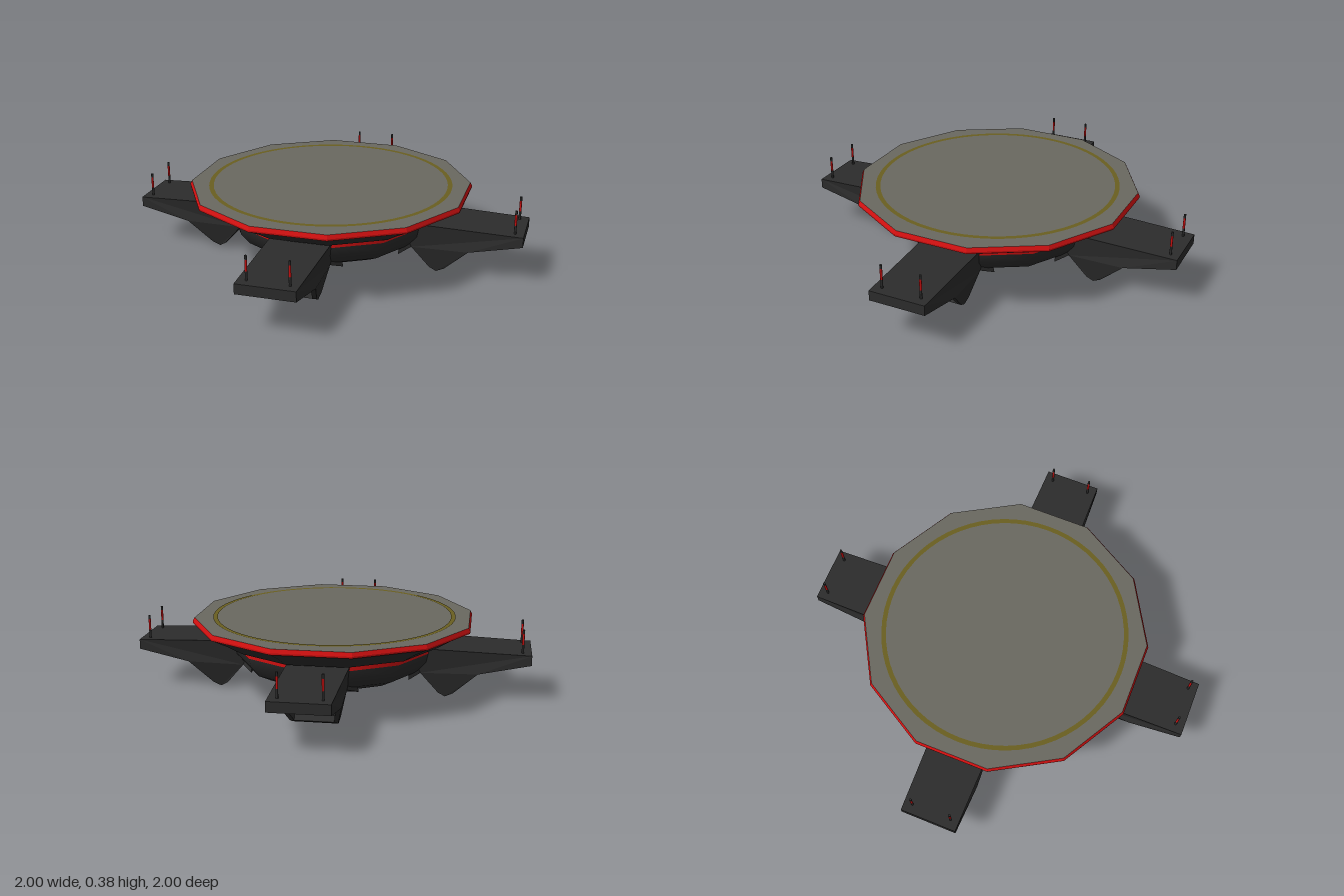
import * as THREE from 'three';

const body = new THREE.MeshStandardMaterial({ name: 'charcoal', color: 0x2c2c2c });
const red = new THREE.MeshStandardMaterial({ name: 'red', color: 0xd01010 });
const grey = new THREE.MeshStandardMaterial({ name: 'deck grey', color: 0x6a6860 });
const olive = new THREE.MeshStandardMaterial({ name: 'olive yellow', color: 0x6a5f20 });

function add(parent, name, geometry, material) {
  const mesh = new THREE.Mesh(geometry, material);
  mesh.name = name;
  parent.add(mesh);
  return mesh;
}

// Twelve-sided turned part with flats facing the four arms; profile is [radius, y]
function turned(profile, flat = false) {
  const points = profile.map(([r, y]) => new THREE.Vector2(r, y));
  const geo = new THREE.LatheGeometry(points, 12, Math.PI / 12);
  if (!flat) return geo;
  const out = geo.toNonIndexed();
  out.computeVertexNormals();
  return out;
}

// Half width of an arm: full on top, tapering to the foot, flared where it meets the hull
function halfWidth(x, y) {
  if (x < 0.45 && y < 0.12) return 0.18;
  if (y > 0.135) return 0.15 - Math.max(0, x - 0.6) * 0.02;
  return 0.108 + Math.min(y, 0.09) * 0.25;
}

// Slab of a side profile between two fractions of the half width
function slab(profile, from, to) {
  const shape = new THREE.Shape(profile.map(([x, y]) => new THREE.Vector2(x, y)));
  const geo = new THREE.ExtrudeGeometry(shape, { depth: 1, bevelEnabled: false });
  const p = geo.attributes.position;
  for (let i = 0; i < p.count; i++) {
    const t = from + (to - from) * p.getZ(i);
    p.setZ(i, t * halfWidth(p.getX(i), p.getY(i)));
  }
  geo.computeVertexNormals();
  return geo;
}

function makeArm() {
  const arm = new THREE.Group();
  const inner = [[0.4, 0.26], [0.4, 0.105], [0.455, 0.13], [0.545, 0.025], [0.58, 0.005], [0.62, 0.025]];
  const outer = [[0.74, 0.14], [1, 0.195], [1, 0.245], [0.54, 0.26]];
  const notch = [[0.585, 0.045], [0.6, 0.125], [0.71, 0.137]];
  // Solid cheeks on both sides of a hollow nozzle
  add(arm, 'armCheekLeft', slab([...inner, ...outer], 0.82, 1), body);
  add(arm, 'armCheekRight', slab([...inner, ...outer], -1, -0.82), body);
  add(arm, 'armCore', slab([...inner, ...notch, ...outer], -0.82, 0.82), body);
  // Glowing strip across the nozzle
  const strip = add(arm, 'nozzleStrip', new THREE.BoxGeometry(0.008, 0.016, 0.195), red);
  strip.position.set(0.595, 0.071, 0);
  // Pair of beacon masts near the tip
  for (const z of [-0.1, 0.1]) {
    for (const [name, y0, y1, mat] of [
      ['mastBase', 0.24, 0.29, body], ['mastLight', 0.29, 0.345, red], ['mastTip', 0.345, 0.365, body],
    ]) {
      const part = add(arm, name, new THREE.CylinderGeometry(0.006, 0.006, y1 - y0, 8), mat);
      part.position.set(0.955, (y0 + y1) / 2, z);
    }
  }
  return arm;
}

export function createModel() {
  const model = new THREE.Group();
  model.name = 'landingPlatform';

  // Hull, glowing band and flared dish
  add(model, 'hull', turned([[0.305, 0.07], [0.39, 0.1], [0.46, 0.135], [0.505, 0.19], [0.517, 0.236]]), body);
  add(model, 'hullBand', turned([[0.518, 0.236], [0.518, 0.262]]), red);
  add(model, 'dish', turned([[0.515, 0.262], [0.555, 0.266], [0.63, 0.312], [0.72, 0.36]]), body);

  // Rim and deck
  add(model, 'deckRim', turned([[0.72, 0.358], [0.721, 0.367], [0.712, 0.385]], true), red);
  const deck = add(model, 'deck', new THREE.CircleGeometry(0.712, 12, Math.PI / 12), grey);
  deck.rotation.x = -Math.PI / 2;
  deck.position.y = 0.385;
  const ring = add(model, 'deckRing', new THREE.RingGeometry(0.595, 0.618, 64), olive);
  ring.rotation.x = -Math.PI / 2;
  ring.position.y = 0.387;

  // Underside hatch: red surround and recessed grey panel
  add(model, 'hatchRing', turned([[0.25, 0.088], [0.256, 0.072], [0.305, 0.07]]), red);
  const hatch = add(model, 'hatchPanel', new THREE.CircleGeometry(0.252, 12, Math.PI / 12), grey);
  hatch.rotation.x = Math.PI / 2;
  hatch.position.y = 0.087;

  // Four identical arms
  for (let i = 0; i < 4; i++) {
    const arm = makeArm();
    arm.name = ['leftArm', 'backArm', 'rightArm', 'frontArm'][i];
    arm.rotation.y = i * Math.PI / 2;
    model.add(arm);
  }
  return model;
}
